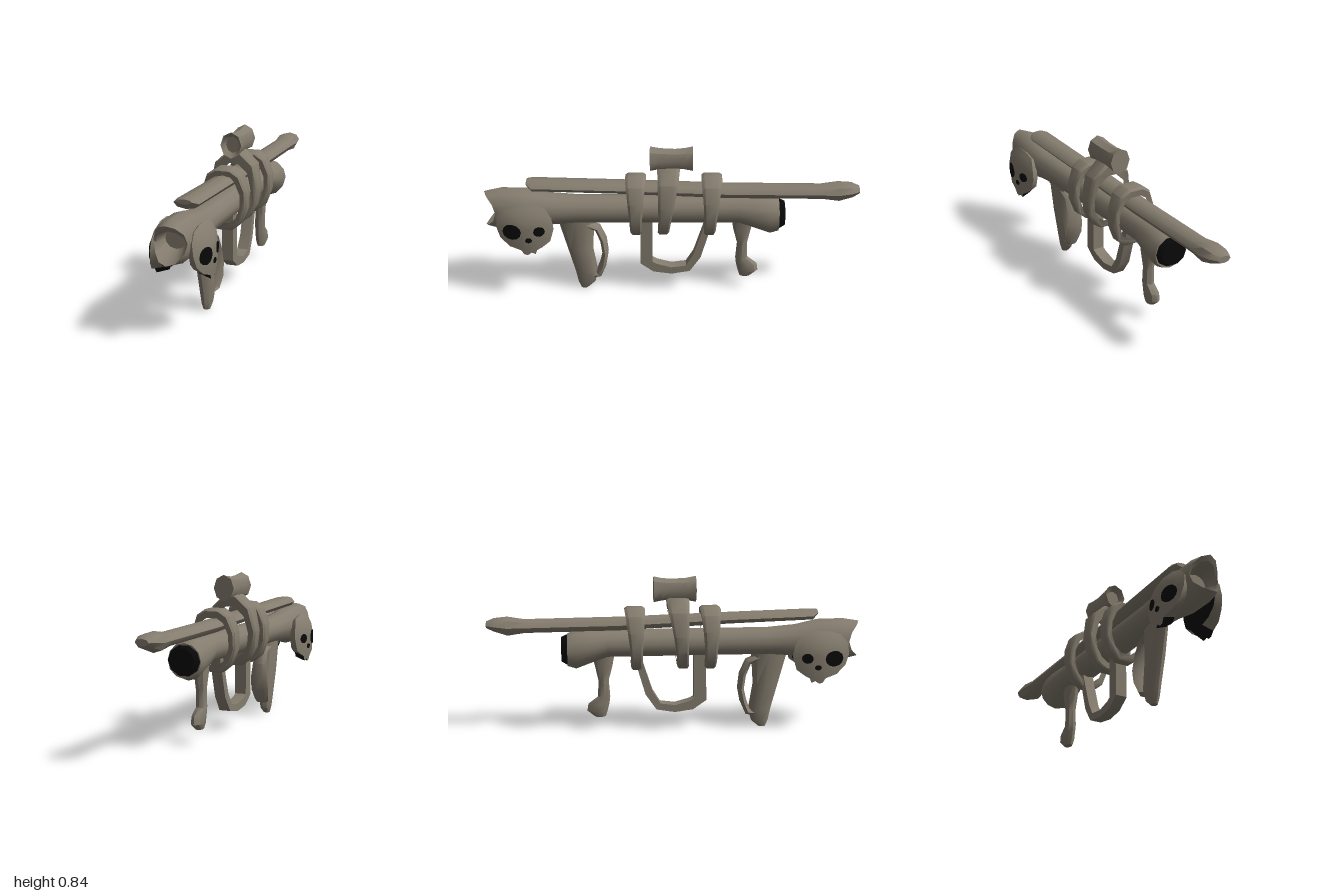
import * as THREE from 'three';
import { toCreasedNormals } from 'three/addons/utils/BufferGeometryUtils.js';

const bone = new THREE.MeshStandardMaterial({ color: 0x847c6e });
bone.name = 'weathered bone';
const black = new THREE.MeshStandardMaterial({ color: 0x080808 });
black.name = 'black hollow';

const V = (x, y, z) => new THREE.Vector3(x, y, z);

// Closed skin over equal-sized loops, with fan caps; triangles chosen by isDark become black.
function loft(name, loops, { mat = bone, isDark = () => false, crease = 0.75 } = {}) {
  const tris = [];
  const n = loops[0].length;
  const cap = (loop, reverse) => {
    const c = loop.reduce((a, p) => a.add(p), V(0, 0, 0)).divideScalar(n);
    loop.forEach((p, i) => {
      const q = loop[(i + 1) % n];
      tris.push(reverse ? [c, q, p] : [c, p, q]);
    });
  };
  cap(loops[0], true);
  for (let k = 0; k + 1 < loops.length; k++) {
    for (let i = 0; i < n; i++) {
      const j = (i + 1) % n, a = loops[k], b = loops[k + 1];
      tris.push([a[i], a[j], b[j]], [a[i], b[j], b[i]]);
    }
  }
  cap(loops[loops.length - 1], false);
  // Turn every face outward
  const volume = tris.reduce((s, [a, b, c]) => s + a.dot(b.clone().cross(c)), 0);
  if (volume < 0) tris.forEach(t => t.reverse());
  const dark = tris.filter(isDark);
  const light = tris.filter(t => !isDark(t));
  const geo = new THREE.BufferGeometry().setFromPoints([...light, ...dark].flat());
  if (dark.length) {
    geo.addGroup(0, light.length * 3, 0);
    geo.addGroup(light.length * 3, dark.length * 3, 1);
  }
  const mesh = new THREE.Mesh(toCreasedNormals(geo, crease), dark.length ? [bone, black] : mat);
  mesh.name = name;
  return mesh;
}

// Ellipse across x and a direction (dy, dz)
function ring(y, z, rx, r, dy, dz, n, turn = 0) {
  return Array.from({ length: n }, (_, i) => {
    const a = (i / n) * Math.PI * 2 + turn;
    const s = Math.sin(a) * r;
    return V(Math.cos(a) * rx, y + dy * s, z + dz * s);
  });
}

// Parts running front to back: rows of [z, centre y, half width, half height, side setback]
const alongZ = (rows, n) => rows.map(([z, y, rx, ry, notch = 0]) =>
  ring(y, z, rx, ry, 1, 0, n).map(p => V(p.x, p.y, p.z - notch * (p.x / rx) ** 2)));

// Parts running up and down: rows of [y, centre z, half width, half depth]
const alongY = (rows, n) => rows.map(([y, z, rx, rz]) => ring(y, z, rx, rz, 0, 1, n));

// Bent bars in the side plane: rows of [z, y, half width, half thickness]
function bentBar(rows, n, turn) {
  return rows.map(([z, y, rx, r], i) => {
    const a = rows[Math.max(i - 1, 0)], b = rows[Math.min(i + 1, rows.length - 1)];
    const dz = b[0] - a[0], dy = b[1] - a[1], len = Math.hypot(dz, dy);
    return ring(y, z, rx, r, dz / len, -dy / len, n, turn);
  });
}

// Strap around the barrel from its right half outline; it widens toward the top
function band(name, half, hole, zTop, zBottom, wTop, wBottom) {
  const pts = [...half, ...half.map(([x, y]) => [-x, y]).reverse()];
  const shape = new THREE.Shape(pts.map(([x, y]) => new THREE.Vector2(x, y)));
  shape.holes.push(new THREE.Path(pts.map(([x, y]) =>
    new THREE.Vector2(x * hole, 0.5 + (y - 0.5) * hole))));
  const geo = new THREE.ExtrudeGeometry(shape, {
    depth: 0.7, bevelThickness: 0.15, bevelSize: 0.01, bevelOffset: -0.01, bevelSegments: 1, curveSegments: 1,
  });
  const p = geo.attributes.position;
  for (let i = 0; i < p.count; i++) {
    const t = THREE.MathUtils.clamp((p.getY(i) - 0.34) / 0.36, 0, 1);
    const mid = THREE.MathUtils.lerp(zBottom, zTop, t);
    p.setZ(i, mid + (p.getZ(i) - 0.35) * THREE.MathUtils.lerp(wBottom, wTop, t * t));
  }
  const mesh = new THREE.Mesh(toCreasedNormals(geo, 0.75), bone);
  mesh.name = name;
  return mesh;
}

// Curved face of the side skulls: x as a function of z and y
const faceX = (z, y) => 0.15 - 1.6 * (z - 0.77) ** 2
  - 3 * Math.max(0, y - 0.43) ** 2 - 0.6 * Math.max(0, 0.4 - y) ** 2;

// Loops shrinking from an outline [z, y] to its centre, laid on the skull face
function faceLoops(outline, cz, cy, lift, side) {
  return [0.12, 0.35, 0.6, 0.82, 1].map(s => outline.map(([z, y]) => {
    const pz = cz + (z - cz) * s, py = cy + (y - cy) * s;
    return V(side * (faceX(pz, py) + lift), py, pz);
  }));
}

function skull(side) {
  const group = new THREE.Group();
  group.name = side > 0 ? 'leftSkull' : 'rightSkull';
  const outline = [
    [0.93, 0.43], [0.925, 0.49], [0.885, 0.535], [0.82, 0.555], [0.74, 0.555], [0.67, 0.535],
    [0.635, 0.48], [0.625, 0.42], [0.645, 0.35], [0.69, 0.318], [0.715, 0.305], [0.725, 0.28],
    [0.745, 0.29], [0.765, 0.275], [0.785, 0.28], [0.8, 0.305], [0.86, 0.325], [0.91, 0.37],
  ];
  const loops = faceLoops(outline, 0.78, 0.43, 0, side);
  loops.push(outline.map(([z, y]) =>
    V(side * 0.08, 0.44 + (y - 0.44) * 0.87, 0.78 + (z - 0.78) * 0.9)));
  // Hollow underside and inner face are black
  group.add(loft('skullShell', loops, {
    isDark: t => t.every(p => Math.abs(p.x) < 0.0801)
      || (t.some(p => Math.abs(p.x) < 0.0801) && t.every(p => p.y < 0.335)),
  }));
  // Eye sockets and nose
  [['largeEye', 0.845, 0.412, 0.05, 0.043], ['smallEye', 0.7, 0.415, 0.03, 0.027],
    ['nose', 0.757, 0.366, 0.018, 0.014]].forEach(([name, z, y, rz, ry]) => {
    const rim = Array.from({ length: 12 }, (_, i) => {
      const a = (i / 12) * Math.PI * 2;
      return [z + Math.cos(a) * rz, y + Math.sin(a) * ry];
    });
    const eye = faceLoops(rim, z, y, 0.004, side);
    eye.push(rim.map(([pz, py]) => V(side * (faceX(pz, py) - 0.004), py, pz)));
    group.add(loft(name, eye, { mat: black }));
  });
  return group;
}

export function createModel() {
  const model = new THREE.Group();
  model.name = 'boneLauncher';

  // Barrel with a hollow, notched muzzle and flared tail
  model.add(loft('barrel', alongZ([
    [0.87, 0.49, 0.055, 0.05], [0.985, 0.48, 0.078, 0.08, 0.06], [1, 0.49, 0.084, 0.097, 0.065],
    [0.91, 0.487, 0.098, 0.115], [0.77, 0.487, 0.1, 0.113], [0.65, 0.485, 0.086, 0.088],
    [0.5, 0.485, 0.08, 0.075], [-0.36, 0.485, 0.08, 0.075], [-0.44, 0.472, 0.092, 0.09],
    [-0.53, 0.456, 0.098, 0.108], [-0.575, 0.453, 0.092, 0.09],
  ], 12)));
  model.add(loft('tailHollow', alongZ([
    [-0.57, 0.455, 0.088, 0.08], [-0.58, 0.455, 0.088, 0.08], [-0.607, 0.457, 0.072, 0.066],
  ], 10), { mat: black }));

  // Long rod lying over the barrel
  model.add(loft('upperRod', alongZ([
    [0.77, 0.642, 0.04, 0.012], [0.74, 0.628, 0.066, 0.029], [0.3, 0.615, 0.062, 0.032],
    [-0.3, 0.592, 0.058, 0.038], [-0.8, 0.587, 0.057, 0.038], [-0.89, 0.588, 0.065, 0.052],
    [-0.96, 0.596, 0.058, 0.037], [-1, 0.598, 0.036, 0.018],
  ], 8)));

  // Straps and scope bracket
  const strap = [[0.04, 0.678], [0.09, 0.645], [0.122, 0.56], [0.122, 0.47], [0.09, 0.385], [0.04, 0.345]];
  const mount = [[0.035, 0.735], [0.11, 0.665], [0.135, 0.54], [0.122, 0.45], [0.085, 0.38], [0.035, 0.345]];
  model.add(band('frontStrap', strap, 0.8, 0.19, 0.19, 0.12, 0.06));
  model.add(band('rearStrap', strap, 0.8, -0.215, -0.205, 0.12, 0.06));
  model.add(band('scopeBracket', mount, 0.77, 0.015, 0.045, 0.12, 0.06));

  // Waisted scope with a recessed front
  model.add(loft('scope', alongZ([
    [0.085, 0.775, 0.036, 0.044], [0.113, 0.775, 0.058, 0.07], [0.06, 0.775, 0.054, 0.06],
    [-0.02, 0.775, 0.052, 0.056], [-0.07, 0.775, 0.055, 0.061], [-0.113, 0.775, 0.058, 0.07],
  ], 8)));

  model.add(skull(1), skull(-1));

  // Blade-shaped fore grip with its loop
  model.add(loft('foreGrip', alongY([
    [0.43, 0.515, 0.042, 0.1], [0.25, 0.497, 0.042, 0.07], [0.1, 0.465, 0.036, 0.062],
    [0.035, 0.468, 0.028, 0.046], [0.003, 0.48, 0.018, 0.02],
  ], 8)));
  model.add(loft('gripLoop', bentBar([
    [0.46, 0.395, 0.035, 0.02], [0.4, 0.37, 0.036, 0.02], [0.37, 0.3, 0.042, 0.02],
    [0.36, 0.22, 0.05, 0.018], [0.375, 0.15, 0.052, 0.02], [0.4, 0.09, 0.04, 0.02], [0.45, 0.08, 0.025, 0.02],
  ], 6, 0)));

  // Middle guard
  model.add(loft('guard', bentBar([
    [0.135, 0.43, 0.045, 0.045], [0.137, 0.17, 0.045, 0.048], [0.09, 0.138, 0.045, 0.036],
    [0, 0.12, 0.045, 0.028], [-0.09, 0.134, 0.045, 0.028], [-0.14, 0.21, 0.042, 0.03], [-0.205, 0.42, 0.042, 0.025],
  ], 4, Math.PI / 4)));

  // Rear handle with a forward-curled foot
  model.add(loft('rearHandle', alongY([
    [0.42, -0.385, 0.038, 0.06], [0.36, -0.383, 0.036, 0.047], [0.28, -0.385, 0.03, 0.028],
    [0.19, -0.383, 0.03, 0.033], [0.15, -0.412, 0.033, 0.057], [0.11, -0.42, 0.033, 0.055], [0.078, -0.405, 0.02, 0.03],
  ], 8)));

  return model;
}
